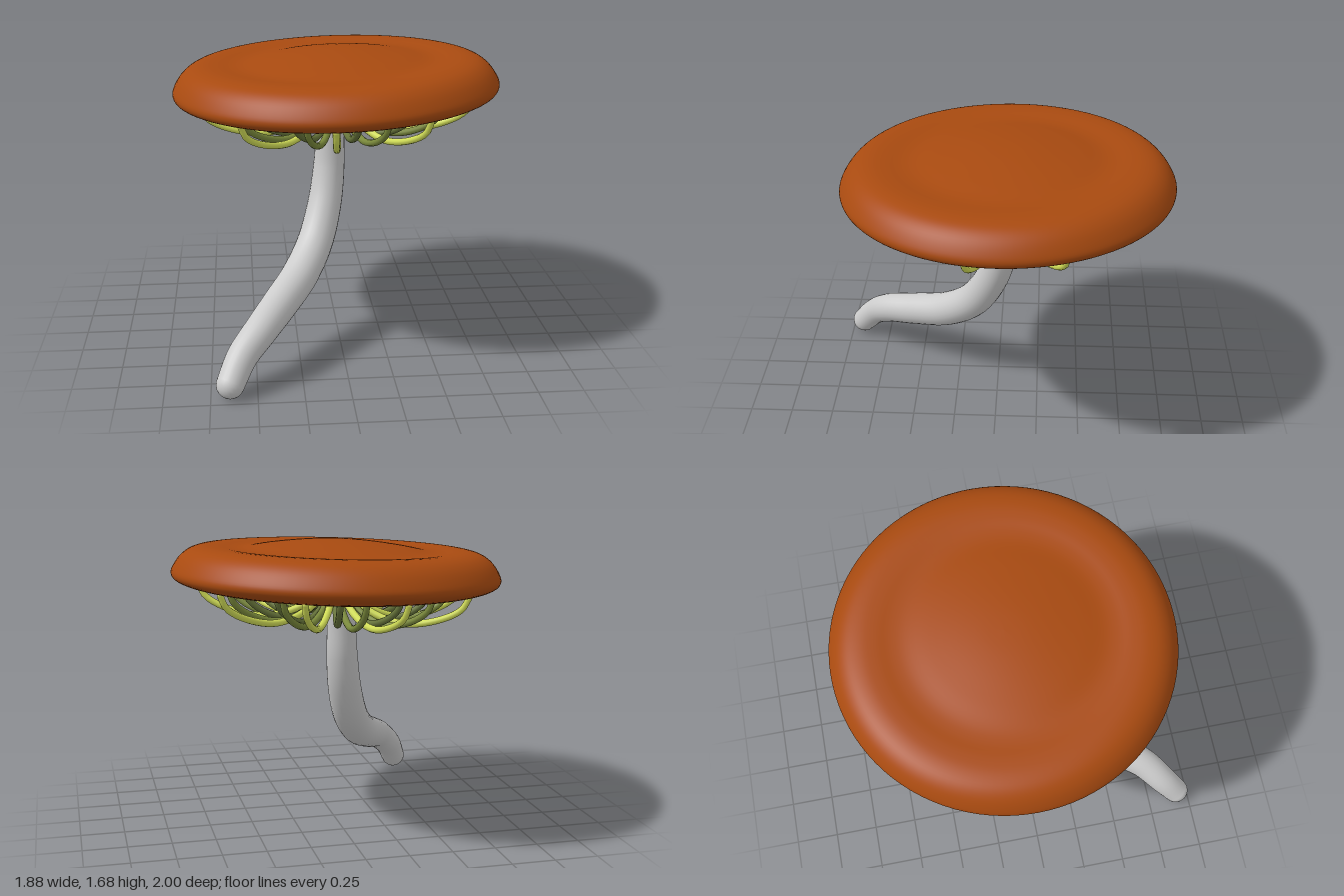
import * as THREE from 'three';

const V = (x, y, z) => new THREE.Vector3(x, y, z);

// Tube along a curve whose radius follows radiusAt(t), with rounded ends
function taperedTube(points, radiusAt, segments, sides, material) {
  const curve = new THREE.CatmullRomCurve3(points);
  const geo = new THREE.TubeGeometry(curve, segments, 1, sides);
  const pos = geo.attributes.position;
  const v = V(0, 0, 0);
  for (let i = 0; i <= segments; i++) {
    const c = curve.getPointAt(i / segments);
    const r = radiusAt(i / segments);
    for (let j = 0; j <= sides; j++) {
      const k = i * (sides + 1) + j;
      v.fromBufferAttribute(pos, k).sub(c).multiplyScalar(r).add(c);
      pos.setXYZ(k, v.x, v.y, v.z);
    }
  }
  const group = new THREE.Group();
  group.add(new THREE.Mesh(geo, material));
  for (const t of [0, 1]) {
    const end = new THREE.Mesh(new THREE.SphereGeometry(radiusAt(t), sides, sides / 2), material);
    end.position.copy(curve.getPointAt(t));
    group.add(end);
  }
  return group;
}

export function createModel() {
  const model = new THREE.Group();
  const mat = (color) => new THREE.MeshStandardMaterial({ color });

  // Curved stalk, thickest in the middle
  const stalk = taperedTube([
    V(-0.645, 0.085, 0.92), V(-0.58, 0.2, 0.83), V(-0.48, 0.295, 0.72), V(-0.365, 0.37, 0.53),
    V(-0.24, 0.46, 0.32), V(-0.14, 0.6, 0.15), V(-0.075, 0.8, 0.035), V(-0.045, 1.0, -0.025),
    V(-0.035, 1.2, -0.045), V(-0.02, 1.42, -0.06),
  ], (t) => 0.077 + 0.028 * Math.sin(Math.PI * Math.min(1, t * 1.05)), 60, 24, mat(0xcccccc));
  stalk.name = 'stalk';
  model.add(stalk);

  // Slightly tilted head: cap and tendrils share this frame
  const head = new THREE.Group();
  head.name = 'head';
  head.position.set(0, 1.48, -0.06);
  head.rotation.set(0.012, 0, 0.032);
  model.add(head);

  // Cap: raised centre, shallow valley, rounded rim, nearly flat underside
  const topSide = [[0.14, -0.03], [0.17, -0.09], [0.3, -0.098], [0.5, -0.098], [0.68, -0.09],
    [0.83, -0.065], [0.915, -0.035], [0.94, 0], [0.925, 0.045], [0.885, 0.1], [0.83, 0.138], [0.76, 0.155],
    [0.68, 0.155], [0.6, 0.148], [0.52, 0.15], [0.4, 0.17], [0.25, 0.19], [0.12, 0.201], [0, 0.204]];
  const outline = new THREE.SplineCurve(topSide.map(([r, y]) => new THREE.Vector2(r, y)))
    .getPoints(72).map((p) => new THREE.Vector2(Math.max(0, p.x), p.y));
  const capMat = mat(0xa84a10);
  capMat.side = THREE.DoubleSide;
  const cap = new THREE.Mesh(
    new THREE.LatheGeometry([new THREE.Vector2(0, -0.03), ...outline], 96), capMat);
  cap.name = 'cap';
  head.add(cap);

  // Three rings of hanging tendrils that curl back up into the underside
  const bright = mat(0xd2de58), olive = mat(0x7b8a3c), dark = mat(0x66733a);
  const rings = [
    { name: 'longTendril', reach: 0.79, dip: -0.25, start: 135, material: bright },
    { name: 'middleTendril', reach: 0.65, dip: -0.255, start: 149, material: olive },
    { name: 'shortTendril', reach: 0.53, dip: -0.245, start: 161, material: dark },
  ];
  for (const { name, reach, dip, start, material } of rings) {
    for (let i = 0; i < 9; i++) {
      const a = THREE.MathUtils.degToRad(start + i * 40);
      const path = [[0.1, -0.1], [0.27, 0.7 * dip - 0.02], [0.52, dip], [0.78, dip + 0.035],
        [0.95, dip * 0.58], [1, -0.075]];
      const points = path.map(([f, y]) => V(Math.cos(a) * f * reach, y, Math.sin(a) * f * reach));
      const tendril = taperedTube(points, (t) => 0.022 - 0.004 * t, 24, 10, material);
      tendril.name = name;
      head.add(tendril);
    }
  }
  return model;
}
